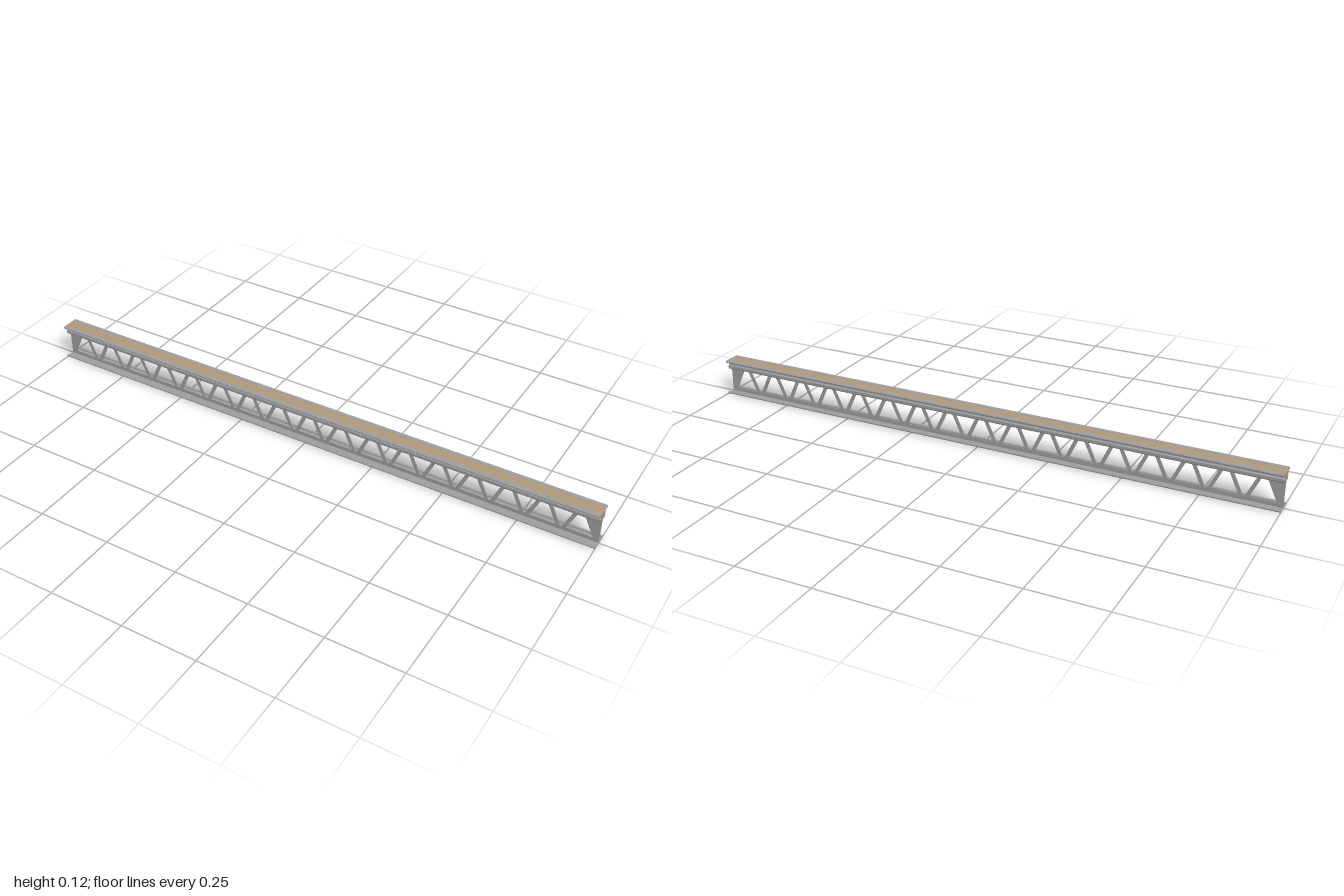
import * as THREE from 'three';

const steel = new THREE.MeshStandardMaterial({ color: 0x9c9d9f });
steel.name = 'galvanised steel';
const wood = new THREE.MeshStandardMaterial({ color: 0xae9878 });
wood.name = 'timber';

const LENGTH = 2;
const SHEET = 0.0014; // sheet thickness

const toShape = (pts) => new THREE.Shape(pts.map(([x, y]) => new THREE.Vector2(x, y)));

// Sweeps a (z, y) cross-section along the whole beam
function sweep(name, shape, material) {
  const geo = new THREE.ExtrudeGeometry(shape, { depth: LENGTH, bevelEnabled: false, curveSegments: 8 });
  geo.translate(0, 0, -LENGTH / 2).rotateY(Math.PI / 2);
  const mesh = new THREE.Mesh(geo, material);
  mesh.name = name;
  return mesh;
}

// Half outline of the waisted top chord, from top to bottom
const chordHalf = [
  [0.0180, 0.1245], [0.0180, 0.1170], [0.0138, 0.1125], [0.0138, 0.1065],
  [0.0180, 0.1030], [0.0180, 0.0945], [0.0155, 0.0920],
];
const mirrored = (half) => [...half, ...half.map(([z, y]) => [-z, y]).reverse()];

function box(name, y, z, width) {
  const mesh = new THREE.Mesh(new THREE.BoxGeometry(LENGTH, SHEET, width), steel);
  mesh.position.set(0, y, z);
  mesh.name = name;
  return mesh;
}

// Hollow rolled lip along a flange edge
function lip(name, z, y) {
  const ring = new THREE.Shape().absarc(z, y, 0.0038, 0, Math.PI * 2);
  ring.holes.push(new THREE.Path().absarc(z, y, 0.0027, 0, Math.PI * 2, true));
  return sweep(name, ring, steel);
}

// Web plate with alternating upright and inverted openings
function web() {
  const bottom = 0.001, top = 0.092, low = 0.015, high = 0.084;
  const count = 17, pitch = 0.1172;
  const shape = toShape([[-1, bottom], [1, bottom], [1, top], [-1, top]]);
  const opening = (x, lowHalf, highHalf) => shape.holes.push(new THREE.Path([
    [x - lowHalf, low], [x - highHalf, high], [x + highHalf, high], [x + lowHalf, low],
  ].map(([px, py]) => new THREE.Vector2(px, py))));
  for (let i = 0; i < count; i++) {
    const x = (i - (count - 1) / 2) * pitch;
    opening(x, 0.042, 0.010);
    if (i < count - 1) opening(x + pitch / 2, 0.003, 0.035);
  }
  const geo = new THREE.ExtrudeGeometry(shape, { depth: 0.003, bevelEnabled: false });
  geo.translate(0, 0, -0.0015);
  const mesh = new THREE.Mesh(geo, steel);
  mesh.name = 'latticeWeb';
  return mesh;
}

export function createModel() {
  const beam = new THREE.Group();
  beam.name = 'trussBeam';

  // Timber core and the steel channel wrapped around its sides and underside
  beam.add(sweep('timberCore', toShape(mirrored(chordHalf)), wood));
  const outer = chordHalf.map(([z, y], i) => [z + SHEET * 0.8, i === chordHalf.length - 1 ? y - SHEET * 0.8 : y]);
  beam.add(sweep('chordChannel', toShape([...mirrored(outer), ...mirrored(chordHalf).reverse()]), steel));

  beam.add(web());

  // Flanges with rolled lips
  beam.add(box('bottomFlange', SHEET / 2 + 0.0005, 0, 0.059));
  for (const s of [-1, 1]) {
    const side = s > 0 ? 'front' : 'back';
    beam.add(box(side + 'TopFlange', 0.125 - SHEET / 2, s * 0.0241, 0.0122));
    beam.add(lip(side + 'TopLip', s * 0.0292, 0.1212));
    beam.add(lip(side + 'BottomLip', s * 0.0292, 0.0038));
  }
  return beam;
}
